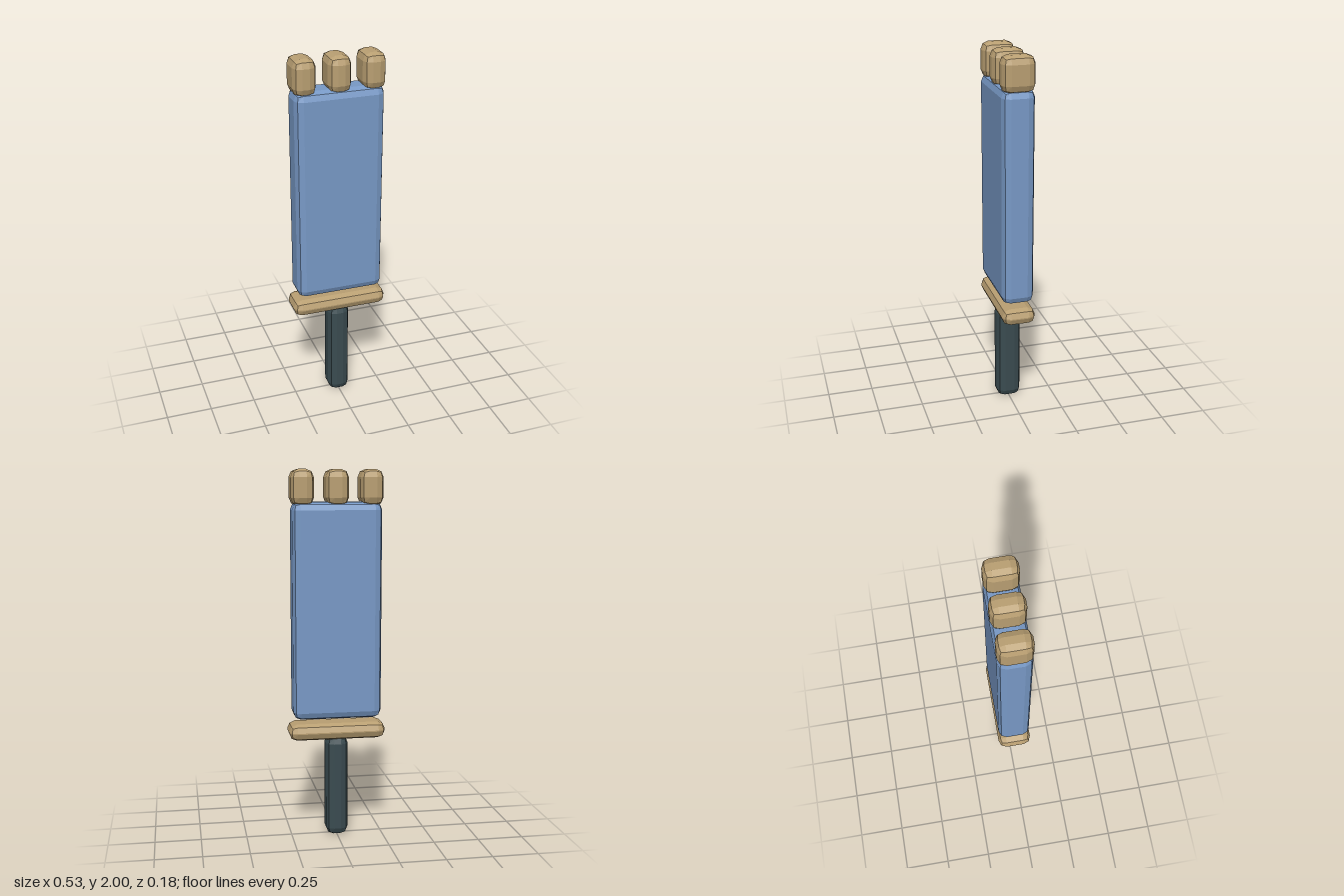
import * as THREE from 'three';
import { RoundedBoxGeometry } from 'three/addons/geometries/RoundedBoxGeometry.js';

const BEVEL = 0.042;

export function createModel() {
  const model = new THREE.Group();
  const material = (color) => new THREE.MeshStandardMaterial({ color, flatShading: true });
  const blue = material(0x7899c6);
  const tan = material(0xb99f72);
  const dark = material(0x3a4b50);

  // Faceted block with a two-step bevel, standing between two heights
  function block(name, mat, width, depth, bottom, top, x = 0) {
    const height = top - bottom;
    const mesh = new THREE.Mesh(new RoundedBoxGeometry(width, height, depth, 1, BEVEL), mat);
    mesh.name = name;
    mesh.position.set(x, bottom + height / 2, 0);
    model.add(mesh);
  }

  block('handle', dark, 0.12, 0.136, 0, 0.565);
  block('guard', tan, 0.528, 0.182, 0.55, 0.64);
  block('blade', blue, 0.48, 0.174, 0.665, 1.83);

  // Three teeth along the top edge
  ['rightTooth', 'middleTooth', 'leftTooth'].forEach((name, i) => {
    block(name, tan, 0.122, 0.174, 1.81, 2, (i - 1) * 0.185);
  });

  return model;
}
